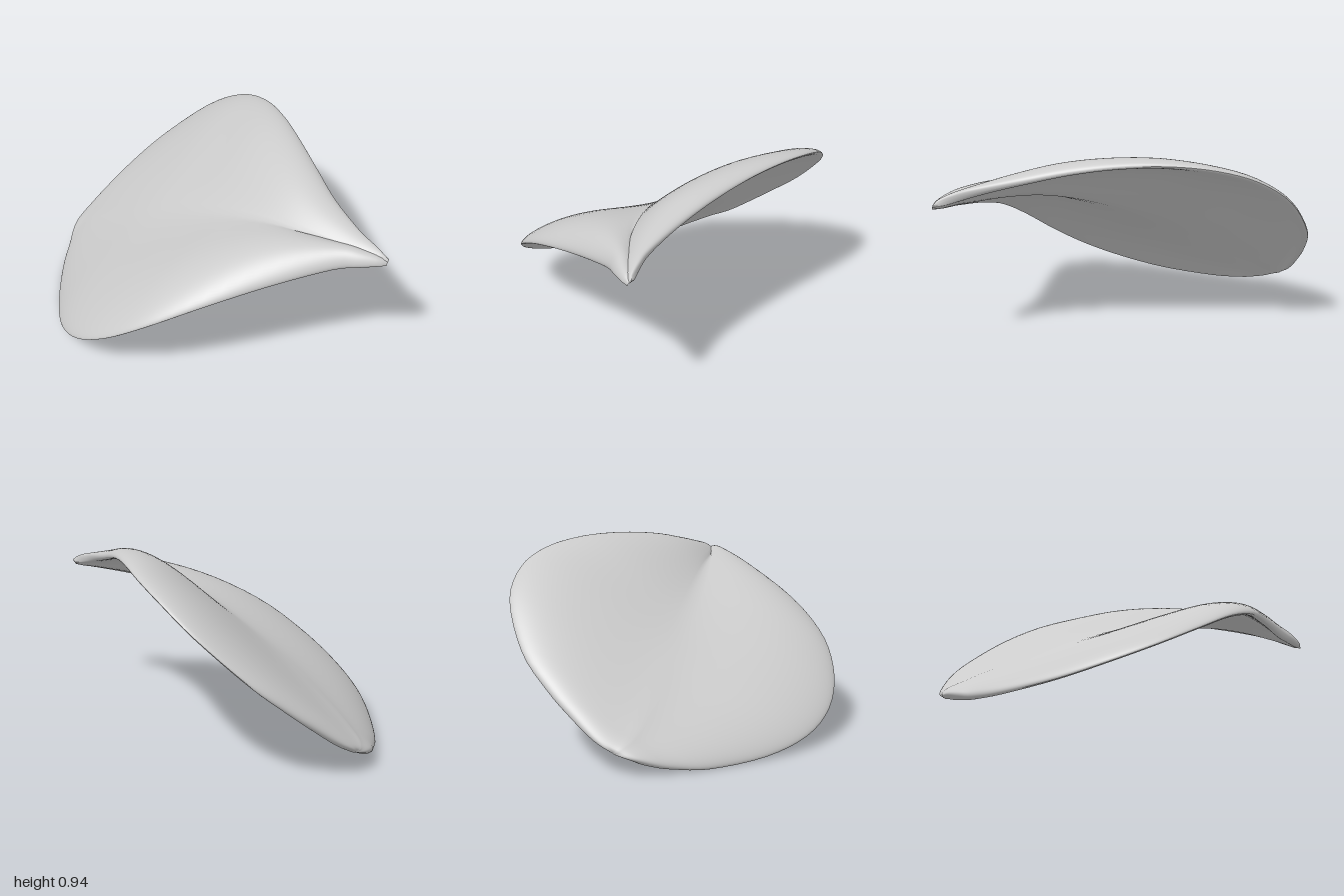
import * as THREE from 'three';

// Stations from the pointed tip to the blunt end:
// x, midrib z, midrib y, back edge z, y, back bulge, front edge z, y, front bulge
const stations = [
  [1, -0.15, 0.74, -0.158, 0.752, 0, -0.14, 0.725, 0.005],
  [0.9, -0.115, 0.745, -0.17, 0.775, 0.008, -0.06, 0.71, 0.028],
  [0.8, -0.09, 0.748, -0.19, 0.795, 0.016, 0.02, 0.69, 0.045],
  [0.6, -0.05, 0.745, -0.27, 0.835, 0.04, 0.26, 0.622, 0.06],
  [0.4, -0.03, 0.728, -0.38, 0.883, 0.06, 0.5, 0.533, 0.06],
  [0.2, -0.015, 0.683, -0.5, 0.917, 0.068, 0.67, 0.413, 0.06],
  [0, -0.005, 0.617, -0.62, 0.927, 0.07, 0.75, 0.28, 0.055],
  [-0.2, 0, 0.537, -0.72, 0.905, 0.06, 0.755, 0.165, 0.048],
  [-0.4, 0, 0.447, -0.77, 0.84, 0.055, 0.68, 0.08, 0.04],
  [-0.6, -0.005, 0.341, -0.75, 0.713, 0.045, 0.52, 0.028, 0.03],
  [-0.8, -0.02, 0.23, -0.61, 0.51, 0.03, 0.3, 0.016, 0.017],
  [-0.9, -0.035, 0.172, -0.45, 0.362, 0.02, 0.15, 0.036, 0.01],
  [-0.95, -0.05, 0.147, -0.32, 0.257, 0.013, 0.075, 0.058, 0.006],
  [-0.985, -0.075, 0.13, -0.2, 0.17, 0.006, 0, 0.085, 0.003],
  [-1, -0.1, 0.12, -0.102, 0.122, 0, -0.098, 0.118, 0],
];
const rows = (stations.length - 1) * 4;
const half = 24;
const cols = half * 2 + 1;
const halfThickness = 0.026;

const spline = (z, y) =>
  new THREE.CatmullRomCurve3(
    stations.map((s) => new THREE.Vector3(s[0], s[y], s[z])), false, 'catmullrom', 0.5);

// Grid of points as a smooth sheet
function sheet(positions, flip) {
  const indices = [];
  for (let i = 0; i < rows; i++) {
    for (let j = 0; j < cols - 1; j++) {
      const a = i * cols + j;
      const c = a + cols;
      if (flip) indices.push(a, a + 1, c, a + 1, c + 1, c);
      else indices.push(a, c, a + 1, a + 1, c, c + 1);
    }
  }
  const geometry = new THREE.BufferGeometry();
  geometry.setAttribute('position', new THREE.Float32BufferAttribute(positions, 3));
  geometry.setIndex(indices);
  geometry.computeVertexNormals();
  return geometry;
}

// Core sheet: each rib-to-edge lobe swells upward and curls down at the rim
function coreSheet() {
  const rib = spline(1, 2);
  const sides = [
    { edge: spline(3, 4), bulge: spline(3, 5) },
    { edge: spline(6, 7), bulge: spline(6, 8) },
  ];
  const positions = [];
  for (let i = 0; i <= rows; i++) {
    const t = i / rows;
    const middle = rib.getPoint(t);
    const lobes = sides.map((side) => ({ edge: side.edge.getPoint(t), bulge: side.bulge.getPoint(t).y }));
    // A sharp groove near the tip softens into a smooth valley
    const p = THREE.MathUtils.clamp(1.5 - middle.x, 1, 2);
    const scale = (p + 1) ** (p + 1) / p ** p;
    for (let j = -half; j <= half; j++) {
      const lobe = lobes[j < 0 ? 0 : 1];
      const s = Math.sin((Math.abs(j) / half) * Math.PI / 2);
      const point = middle.clone().lerp(lobe.edge, s);
      point.y += lobe.bulge * scale * s ** p * (1 - s);
      positions.push(point.x, point.y, point.z);
    }
  }
  return sheet(positions, false);
}

// Skin: the core set off to one side, closing to a rounded rim
function skin(core, direction) {
  const { position, normal } = core.attributes;
  const point = new THREE.Vector3();
  const offset = new THREE.Vector3();
  const positions = [];
  for (let k = 0; k < position.count; k++) {
    const across = Math.sin((((k % cols) - half) / half) * Math.PI / 2);
    const along = (2 * Math.floor(k / cols)) / rows - 1;
    const depth = halfThickness * Math.sqrt(Math.max(0, (1 - across ** 12) * (1 - along ** 12)));
    point.fromBufferAttribute(position, k);
    offset.fromBufferAttribute(normal, k);
    point.addScaledVector(offset, direction * depth);
    positions.push(point.x, point.y, point.z);
  }
  return sheet(positions, direction < 0);
}

export function createModel() {
  const material = new THREE.MeshStandardMaterial({ color: 0xcccccc, side: THREE.DoubleSide });
  const group = new THREE.Group();
  group.name = 'petal';
  const core = coreSheet();
  for (const [name, direction] of [['upperSkin', 1], ['lowerSkin', -1]]) {
    const mesh = new THREE.Mesh(skin(core, direction), material);
    mesh.name = name;
    group.add(mesh);
  }
  return group;
}
